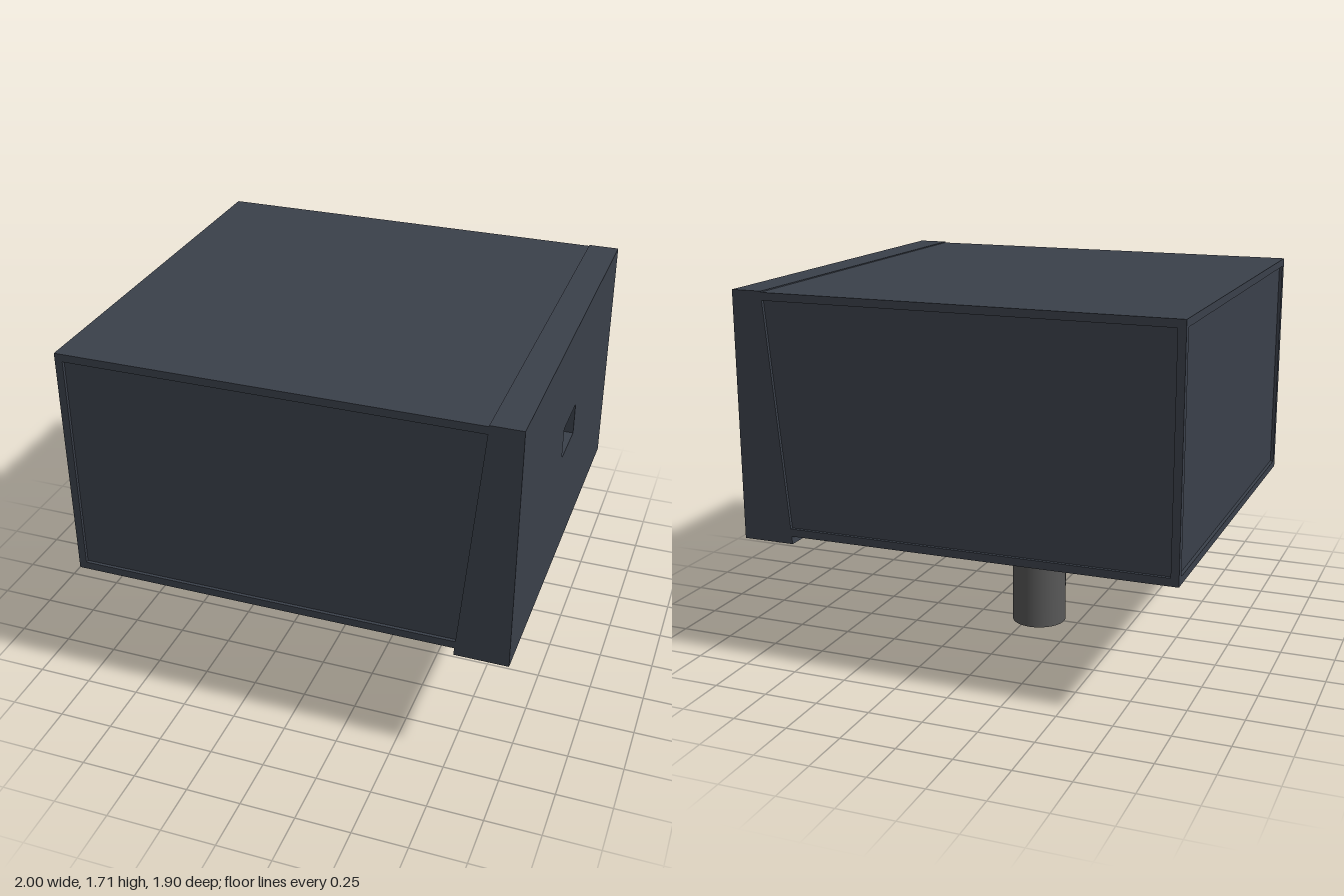
import * as THREE from 'three';

export function createModel() {
  const model = new THREE.Group();
  const shell = new THREE.MeshStandardMaterial({ color: 0x3a404a });
  const metal = new THREE.MeshStandardMaterial({ color: 0x585858 });
  const red = new THREE.MeshStandardMaterial({ color: 0x990000 });

  const add = (name, geometry, material) => {
    const mesh = new THREE.Mesh(geometry, material);
    mesh.name = name;
    model.add(mesh);
    return mesh;
  };
  // Box given by its lower and upper limits on each axis
  const block = (name, [x0, x1], [y0, y1], [z0, z1]) => {
    const g = new THREE.BoxGeometry(x1 - x0, y1 - y0, z1 - z0);
    g.translate((x0 + x1) / 2, (y0 + y1) / 2, (z0 + z1) / 2);
    return add(name, g, shell);
  };

  const W = 0.95, bottom = 0.625, top = 1.705, lip = 0.035, recess = 0.015;
  const capX = 0.86, footY = 0.59, capTop = 1.71;

  // Housing: core with slightly recessed side panels framed by lips
  block('housingCore', [-1 + recess, capX], [bottom + 0.01, top - 0.01], [-W + recess, W - recess]);
  block('topPlate', [-1, capX], [top - lip, top], [-W, W]);
  block('bottomPlate', [-1, capX], [bottom, bottom + lip], [-W, W]);
  for (const s of [-1, 1]) {
    const z = [s * W, s * (W - lip)].sort((a, b) => a - b);
    block('cornerPost', [-1, -1 + lip], [bottom + lip, top - lip], z);
  }

  // End plate with a rectangular port cut through to the core
  const plate = new THREE.Shape();
  plate.moveTo(-W, footY).lineTo(W, footY).lineTo(W, capTop).lineTo(-W, capTop).closePath();
  const port = new THREE.Path();
  port.moveTo(-0.12, 1.13).lineTo(-0.12, 1.28).lineTo(0.12, 1.28).lineTo(0.12, 1.13).closePath();
  plate.holes.push(port);
  const plateGeometry = new THREE.ExtrudeGeometry(plate, { depth: 1 - capX, bevelEnabled: false });
  plateGeometry.rotateY(Math.PI / 2).translate(capX, 0, 0);
  add('endPlate', plateGeometry, shell);

  // Tapered brackets at both ends of the plate
  const taper = new THREE.Shape();
  taper.moveTo(0.76, footY).lineTo(capX, footY).lineTo(capX, capTop).closePath();
  for (const z of [-W, 0.58]) {
    const g = new THREE.ExtrudeGeometry(taper, { depth: W - 0.58, bevelEnabled: false });
    add('taperedBracket', g.translate(0, 0, z), shell);
  }

  // Round post underneath
  const post = add('post', new THREE.CylinderGeometry(0.13, 0.13, 0.64, 48), metal);
  post.position.set(-0.05, 0.32, 0);

  // Small red disc on the underside
  const disc = add('indicatorDisc', new THREE.CylinderGeometry(0.063, 0.063, 0.02, 32), red);
  disc.position.set(-0.67, 0.63, -0.61);

  return model;
}
